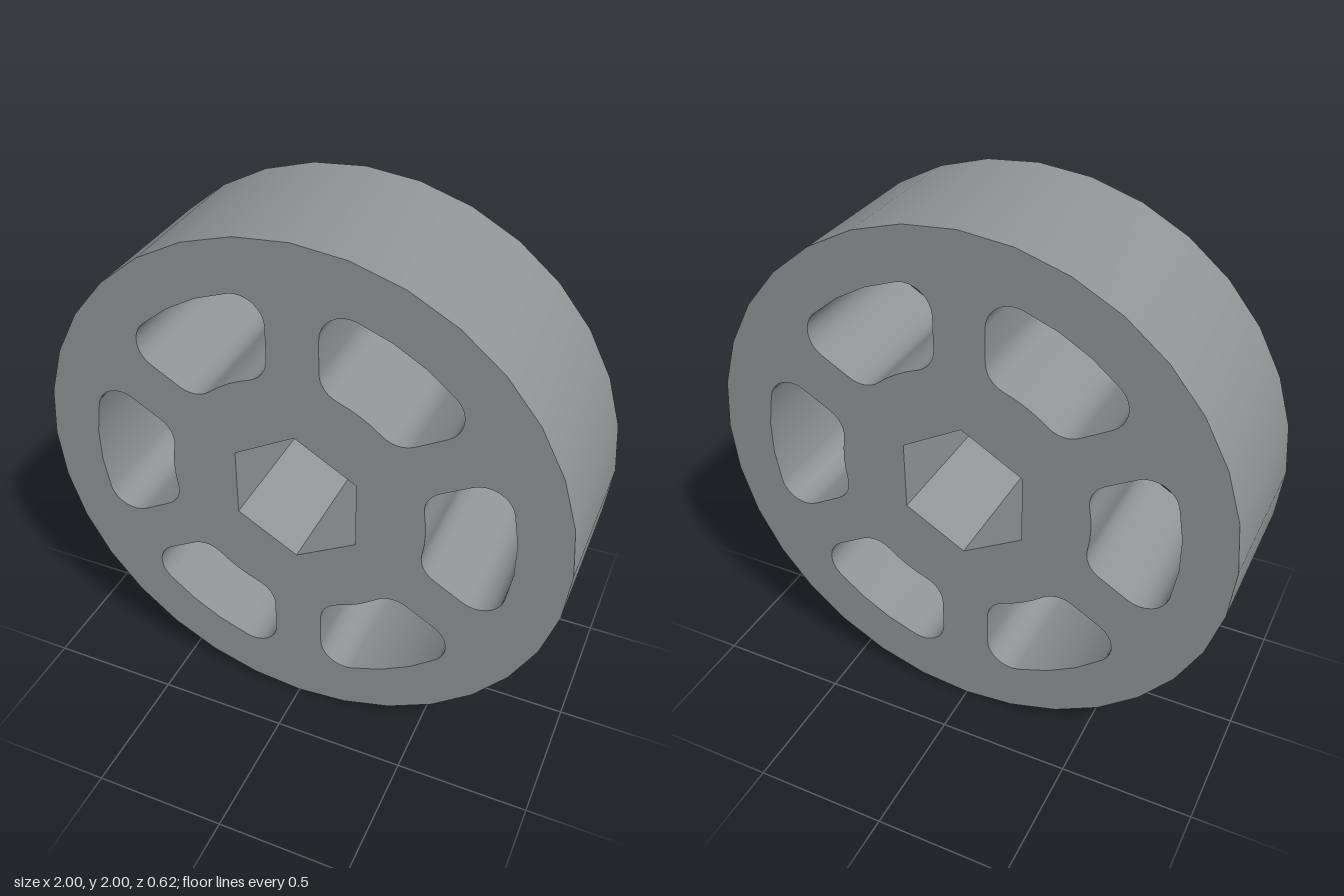
import * as THREE from 'three';
import { toCreasedNormals } from 'three/addons/utils/BufferGeometryUtils.js';

const DEPTH = 0.615;
const RIM = 0.807;    // inner radius of the rim
const HUB = 0.488;    // outer radius of the hub
const SPOKE = 0.095;  // half width of a spoke
const FILLET = 0.1;   // corner radius of the pockets

// Points along an arc, both ends included
function arc(cx, cy, r, from, to, steps) {
  return Array.from({ length: steps + 1 }, (_, i) => {
    const a = from + (to - from) * i / steps;
    return new THREE.Vector2(cx + r * Math.cos(a), cy + r * Math.sin(a));
  });
}

// Pocket between two spokes, centred on the +x axis
function pocketPoints() {
  const spokeAngle = Math.PI / 6;
  const rOut = RIM - FILLET, rIn = HUB + FILLET;
  const aOut = spokeAngle - Math.asin((SPOKE + FILLET) / rOut);
  const aIn = spokeAngle - Math.asin((SPOKE + FILLET) / rIn);
  const side = spokeAngle + Math.PI / 2; // direction from pocket to upper spoke
  const outer = s => [rOut * Math.cos(aOut), s * rOut * Math.sin(aOut), FILLET];
  const inner = s => [rIn * Math.cos(aIn), s * rIn * Math.sin(aIn), FILLET];
  return [
    ...arc(0, 0, RIM, -aOut, aOut, 3),
    ...arc(...outer(1), aOut, side, 8).slice(1),
    ...arc(...inner(1), side, Math.PI + aIn, 6),
    ...arc(0, 0, HUB, aIn, -aIn, 4).slice(1),
    ...arc(...inner(-1), Math.PI - aIn, 2 * Math.PI - side, 6).slice(1),
    ...arc(...outer(-1), -side, -aOut, 8).slice(0, -1),
  ];
}

export function createModel() {
  const group = new THREE.Group();
  group.name = 'spokedWheel';

  // Rim outline with 32 sides
  const shape = new THREE.Shape(arc(0, 0, 1, 0, Math.PI * 2, 32).slice(0, -1));

  // Hexagonal axle hole, one corner up
  shape.holes.push(new THREE.Path(
    arc(0, 0, 0.267, Math.PI / 2, Math.PI * 2.5, 6).slice(0, -1).reverse()));

  // Six pockets that leave the spokes standing
  const pocket = pocketPoints();
  for (let i = 0; i < 6; i++) {
    const turned = pocket.map(p => p.clone().rotateAround(new THREE.Vector2(), i * Math.PI / 3));
    shape.holes.push(new THREE.Path(turned.reverse()));
  }

  const solid = new THREE.ExtrudeGeometry(shape, { depth: DEPTH, bevelEnabled: false });
  solid.translate(0, 1, -DEPTH / 2);

  // Slightly cool mid grey
  const wheel = new THREE.Mesh(
    toCreasedNormals(solid, 0.6),
    new THREE.MeshStandardMaterial({ color: 0x8f9494 }));
  wheel.name = 'wheel';
  group.add(wheel);
  return group;
}
